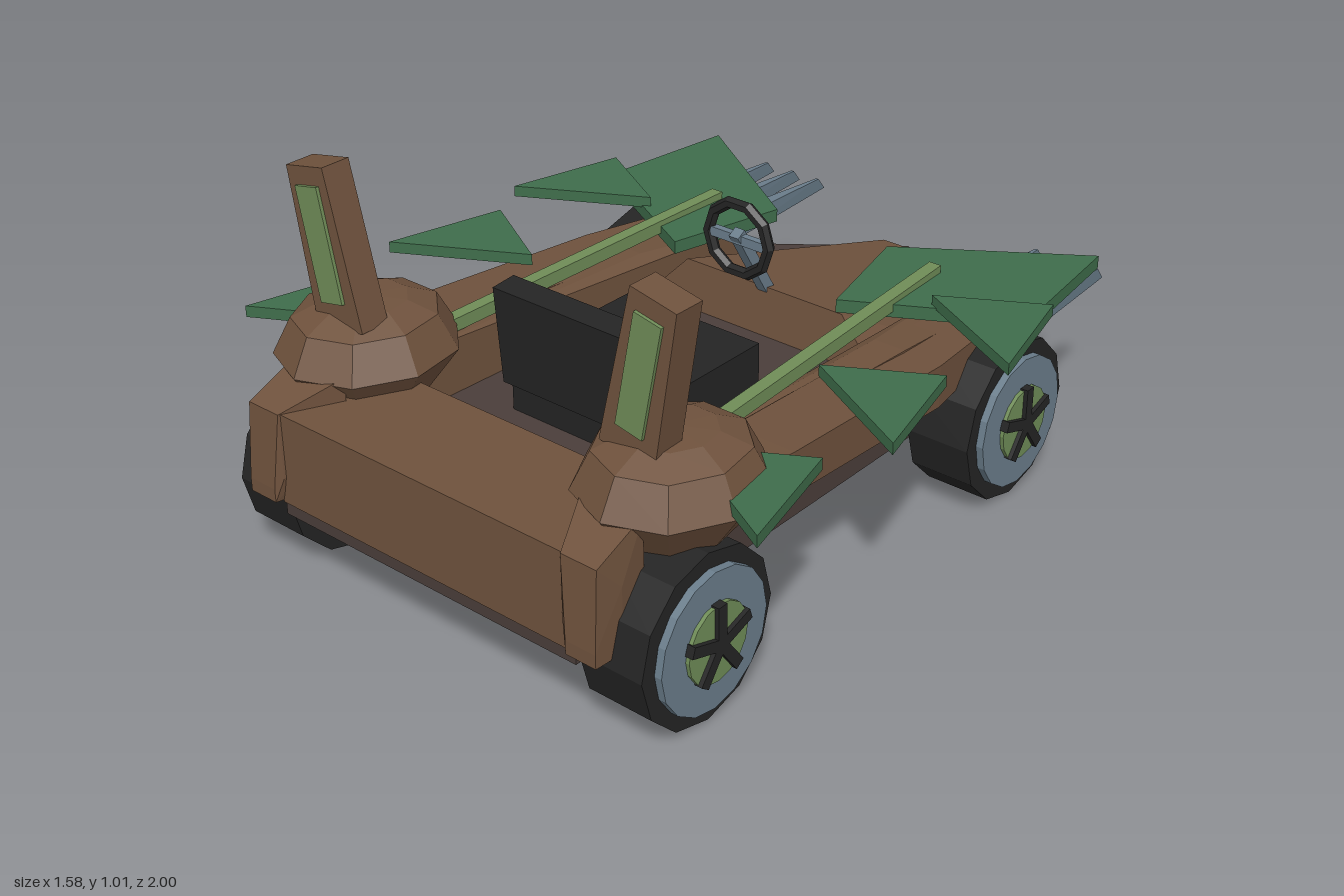
import * as THREE from 'three';
import { ConvexGeometry } from 'three/addons/geometries/ConvexGeometry.js';

const mat = (name, color, flat = true) => {
  const m = new THREE.MeshStandardMaterial({ color, flatShading: flat });
  m.name = name;
  return m;
};

export function createModel() {
  const brown = mat('wood brown', 0x6f523d);
  const dark = mat('dark brown', 0x4a3e3a);
  const black = mat('black', 0x242424);
  const green = mat('leaf green', 0x3f6d4b);
  const lime = mat('light green', 0x6f8c57);
  const steel = mat('blue grey', 0x6a7d8b);
  const model = new THREE.Group();
  model.name = 'kart';

  const add = (name, geo, material, x = 0, y = 0, z = 0, parent = model) => {
    const m = new THREE.Mesh(geo, material);
    m.name = name;
    m.position.set(x, y, z);
    parent.add(m);
    return m;
  };
  const box = (w, h, d) => new THREE.BoxGeometry(w, h, d);
  // Convex solid through corner points, mirrored by s in x
  const hull = (pts, s = 1) =>
    new ConvexGeometry(pts.map(([x, y, z]) => new THREE.Vector3(x * s, y, z)));
  // Four corners of a rectangular cross-section at depth z
  const rect = (x0, x1, y0, y1, z) => [[x0, y0, z], [x1, y0, z], [x1, y1, z], [x0, y1, z]];
  // Horizontal plate from an outline of [x, z] points
  const plate = (outline, y0, y1, s = 1) =>
    hull(outline.flatMap(([x, z]) => [[x, y0, z], [x, y1, z]]), s);

  // Chassis with pointed nose
  add('chassis', plate([[-0.46, 0.97], [0.46, 0.97], [0.46, -0.55], [0, -0.9], [-0.46, -0.55]], 0.19, 0.34), dark);

  // Bonnet
  add('bonnet', hull([
    [-0.04, 0.335, -0.83], [0.04, 0.335, -0.83], [-0.03, 0.38, -0.82], [0.03, 0.38, -0.82],
    [-0.38, 0.335, -0.5], [0.38, 0.335, -0.5], [-0.38, 0.335, -0.22], [0.38, 0.335, -0.22],
    [-0.25, 0.47, -0.24], [0.25, 0.47, -0.24],
  ]), brown);

  // End panel block
  add('endPanel', box(0.91, 0.24, 0.31), brown, 0, 0.35, 0.825);

  // Seat
  add('seatCushion', box(0.42, 0.15, 0.42), black, 0, 0.415, 0.25);
  const back = new THREE.Group();
  back.name = 'seatBack';
  back.position.set(0, 0.56, 0.465);
  back.rotation.x = 0.08;
  model.add(back);
  add('backrest', box(0.42, 0.26, 0.07), black, 0, 0, 0, back);
  add('backrestPad', box(0.31, 0.19, 0.008), dark, 0, 0, -0.039, back);

  // Steering wheel and column
  add('steeringWheel', new THREE.TorusGeometry(0.095, 0.016, 6, 10), black, 0, 0.64, -0.14);
  add('steeringBar', box(0.18, 0.025, 0.02), steel, 0, 0.64, -0.14);
  const column = add('steeringColumn', box(0.03, 0.24, 0.03), steel, 0, 0.555, -0.195);
  column.rotation.x = 0.55;

  for (const s of [1, -1]) {
    // Side walls and outer pods
    add('sideWall', hull([
      ...rect(0.38, 0.47, 0.335, 0.50, 0.68),
      ...rect(0.38, 0.47, 0.335, 0.46, -0.2),
      ...rect(0.33, 0.45, 0.335, 0.42, -0.56),
    ], s), brown);
    add('sidePod', hull([
      ...rect(0.42, 0.58, 0.42, 0.51, 0.6),
      ...rect(0.42, 0.595, 0.39, 0.50, 0.4),
      ...rect(0.40, 0.575, 0.34, 0.455, -0.2),
      ...rect(0.38, 0.53, 0.345, 0.43, -0.52),
    ], s), brown);

    // Corner bracket
    add('cornerBracket', hull([
      ...rect(0.44, 0.55, 0.235, 0.4, 0.92),
      ...rect(0.46, 0.545, 0.235, 0.27, 1.0),
      ...rect(0.44, 0.54, 0.3, 0.47, 0.985),
      ...rect(0.37, 0.54, 0.40, 0.53, 0.84),
    ], s), brown);

    // Faceted shoulder with a tilted post
    const profile = [[0, 0.395], [0.14, 0.41], [0.215, 0.515], [0.17, 0.605], [0.10, 0.638], [0, 0.645]]
      .map(([x, y]) => new THREE.Vector2(x, y));
    const knob = add('shoulder', new THREE.LatheGeometry(profile, 9), brown, s * 0.475, 0, 0.67);
    knob.scale.z = 1.08;
    const post = new THREE.Group();
    post.name = 'post';
    post.position.set(s * 0.483, 0.81, 0.74);
    post.rotation.z = -s * 0.2;
    model.add(post);
    add('postBody', hull([...rect(-0.078, 0.078, -0.21, -0.21, -0.04), ...rect(-0.078, 0.078, -0.21, -0.21, 0.04),
      ...rect(-0.063, 0.063, 0.19, 0.19, -0.04), ...rect(-0.063, 0.063, 0.19, 0.19, 0.04)]), brown, 0, 0, 0, post);
    add('postInlay', box(0.075, 0.285, 0.009), lime, 0, 0.002, 0.044, post);

    // Leaf plates
    for (const z of [-0.33, 0.13, 0.6]) {
      add('smallLeaf', plate([[0.455, z], [0.71, z - 0.145], [0.79, z + 0.18]], 0.525, 0.555, s), green);
    }
    add('largeLeaf', plate([[0.63, -0.83], [0.18, -0.53], [0.26, -0.2], [0.68, -0.43]], 0.495, 0.53, s), green);

    // Stem along the leaves
    add('stem', hull([...rect(0.338, 0.373, 0.515, 0.55, -0.49), ...rect(0.385, 0.42, 0.495, 0.53, 0.48)], s), lime);

    // Blades
    for (const x of [0.37, 0.46, 0.555]) {
      add('blade', hull([
        ...rect(x - 0.03, x + 0.03, 0.38, 0.445, -0.5),
        [x - 0.004, 0.42, -0.965], [x + 0.004, 0.42, -0.965], [x, 0.38, -1],
      ], s), steel);
    }

    // Wheels, built facing +x and turned for the other side
    for (const z of [0.745, -0.46]) {
      const wheel = new THREE.Group();
      wheel.name = 'wheel';
      wheel.position.set(s * 0.5475, 0.215, z);
      wheel.rotation.y = s > 0 ? 0 : Math.PI;
      model.add(wheel);
      const disc = (name, r, w, x, material, sides) => {
        const g = new THREE.CylinderGeometry(r, r, w, sides);
        g.rotateZ(-Math.PI / 2);
        add(name, g, material, x, 0, 0, wheel);
      };
      disc('tyre', 0.215, 0.175, 0, black, 12);
      disc('rim', 0.175, 0.03, 0.092, steel, 16);
      disc('hub', 0.098, 0.03, 0.102, lime, 16);
      for (let i = 0; i < 5; i++) {
        const a = i * Math.PI * 2 / 5;
        const spoke = add('spoke', box(0.03, 0.1, 0.028), black, 0.113, 0.05 * Math.cos(a), 0.05 * Math.sin(a), wheel);
        spoke.rotation.x = a;
      }
    }
  }
  return model;
}
